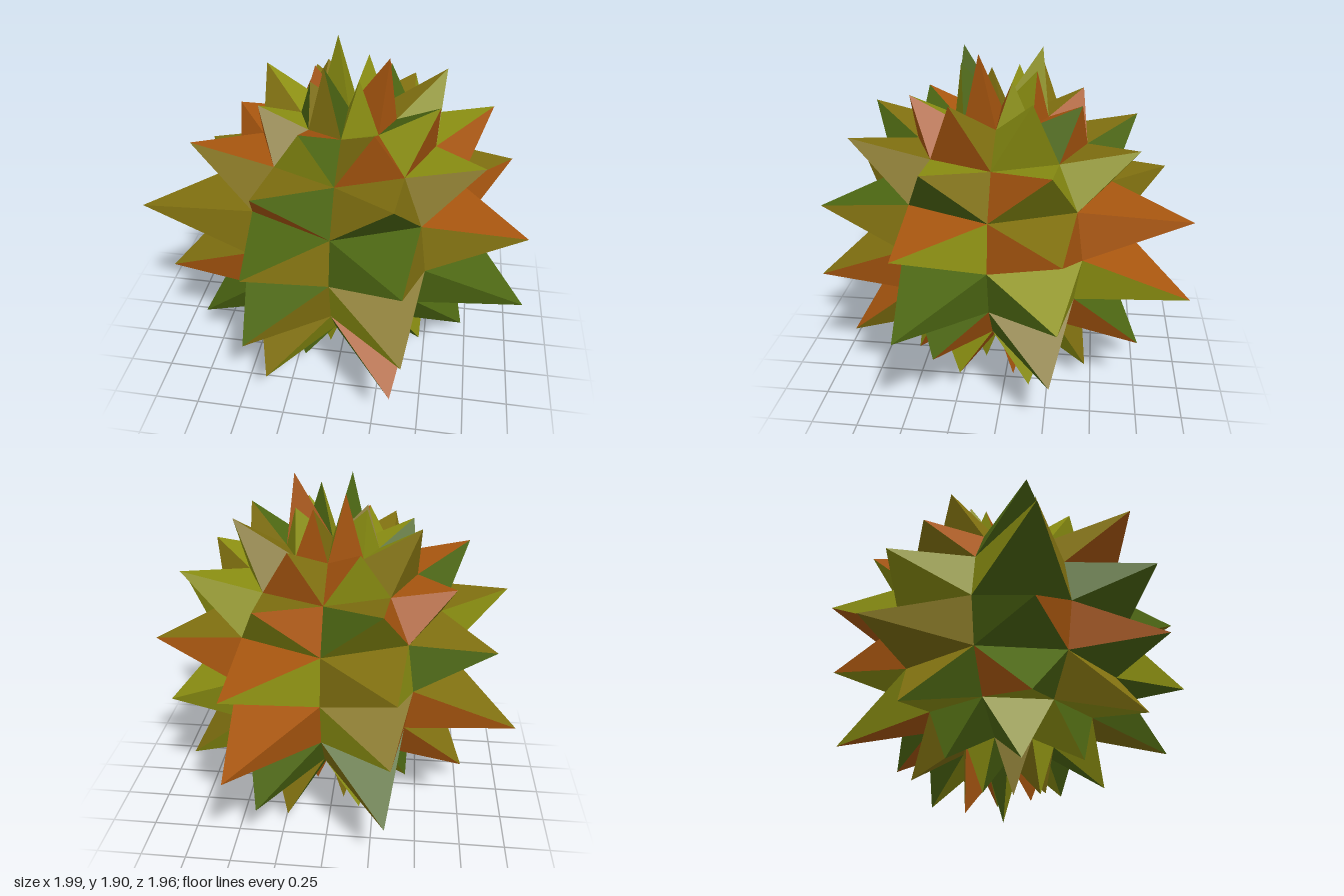
import * as THREE from 'three';

const RADIUS = 0.65, STEPS = 8;
const CENTRE = new THREE.Vector3(0.015, 0.945, 0.04);

// Spike heights for each ring, bottom to top, eight around from +x towards +z
const RINGS = [
  ['bottomSpikes', [0.22, 0.21, 0.25, 0.275, 0.25, 0.325, 0.2, 0.325]],
  ['lowerSpikes', [0.28, 0.317, 0.25, 0.31, 0.27, 0.3, 0.37, 0.32]],
  ['lowerMiddleSpikes', [0.29, 0.45, 0.41, 0.43, 0.38, 0.48, 0.42, 0.41]],
  ['belowEquatorSpikes', [0.485, 0.445, 0.42, 0.42, 0.52, 0.38, 0.535, 0.36]],
  ['aboveEquatorSpikes', [0.455, 0.41, 0.39, 0.525, 0.38, 0.43, 0.51, 0.4]],
  ['upperMiddleSpikes', [0.33, 0.377, 0.41, 0.38, 0.26, 0.356, 0.34, 0.38]],
  ['upperSpikes', [0.31, 0.27, 0.22, 0.23, 0.305, 0.23, 0.23, 0.34]],
  ['topSpikes', [0.36, 0.285, 0.343, 0.2, 0.22, 0.34, 0.25, 0.22]],
];

const PALETTE = { olive: 0x807010, lime: 0x8c9012, green: 0x4c6612, orange: 0xa8560f };

// Small seeded generator for the scatter of facet colours
function seeded(seed) {
  return () => (seed = (seed * 16807) % 2147483647) / 2147483647;
}

// Point on the core sphere by ring and segment number
function corner(ring, segment) {
  const lat = (ring / STEPS - 0.5) * Math.PI;
  const a = (segment / STEPS) * Math.PI * 2;
  return new THREE.Vector3(
    Math.cos(lat) * Math.cos(a), Math.sin(lat), Math.cos(lat) * Math.sin(a),
  ).multiplyScalar(RADIUS).add(CENTRE);
}

// Outline of one sphere panel: a triangle at the poles, otherwise a trapezoid
function panel(ring, seg) {
  const low = ring === 0 ? [corner(0, 0)] : [corner(ring, seg + 1), corner(ring, seg)];
  const high = ring === STEPS - 1 ? [corner(STEPS, 0)] : [corner(ring + 1, seg), corner(ring + 1, seg + 1)];
  return [...low, ...high];
}

// Tip raised from the panel's middle along its normal
function spikeTip(points, height) {
  const normal = points[1].clone().sub(points[0]).cross(points[2].clone().sub(points[0])).normalize();
  const middle = new THREE.Vector3();
  points.forEach((p) => middle.add(p));
  return middle.divideScalar(points.length).addScaledVector(normal, height);
}

export function createModel() {
  const model = new THREE.Group();
  model.name = 'spikyBall';
  const random = seeded(4321);
  const names = Object.keys(PALETTE);
  const materials = names.map((n) => new THREE.MeshStandardMaterial({ color: PALETTE[n], flatShading: true }));

  RINGS.forEach(([name, heights], ring) => {
    const group = new THREE.Group();
    group.name = name;
    const facets = names.map(() => []);

    // Each spike is a pyramid of facets, sorted by colour
    heights.forEach((height, seg) => {
      const points = panel(ring, seg);
      const tip = spikeTip(points, height);
      points.forEach((p, i) => {
        const next = points[(i + 1) % points.length];
        facets[Math.floor(random() * names.length)].push(p, next, tip);
      });
    });

    facets.forEach((points, i) => {
      if (!points.length) return;
      const geometry = new THREE.BufferGeometry().setFromPoints(points);
      geometry.computeVertexNormals();
      const mesh = new THREE.Mesh(geometry, materials[i]);
      mesh.name = `${names[i]}Facets`;
      group.add(mesh);
    });
    model.add(group);
  });
  return model;
}
